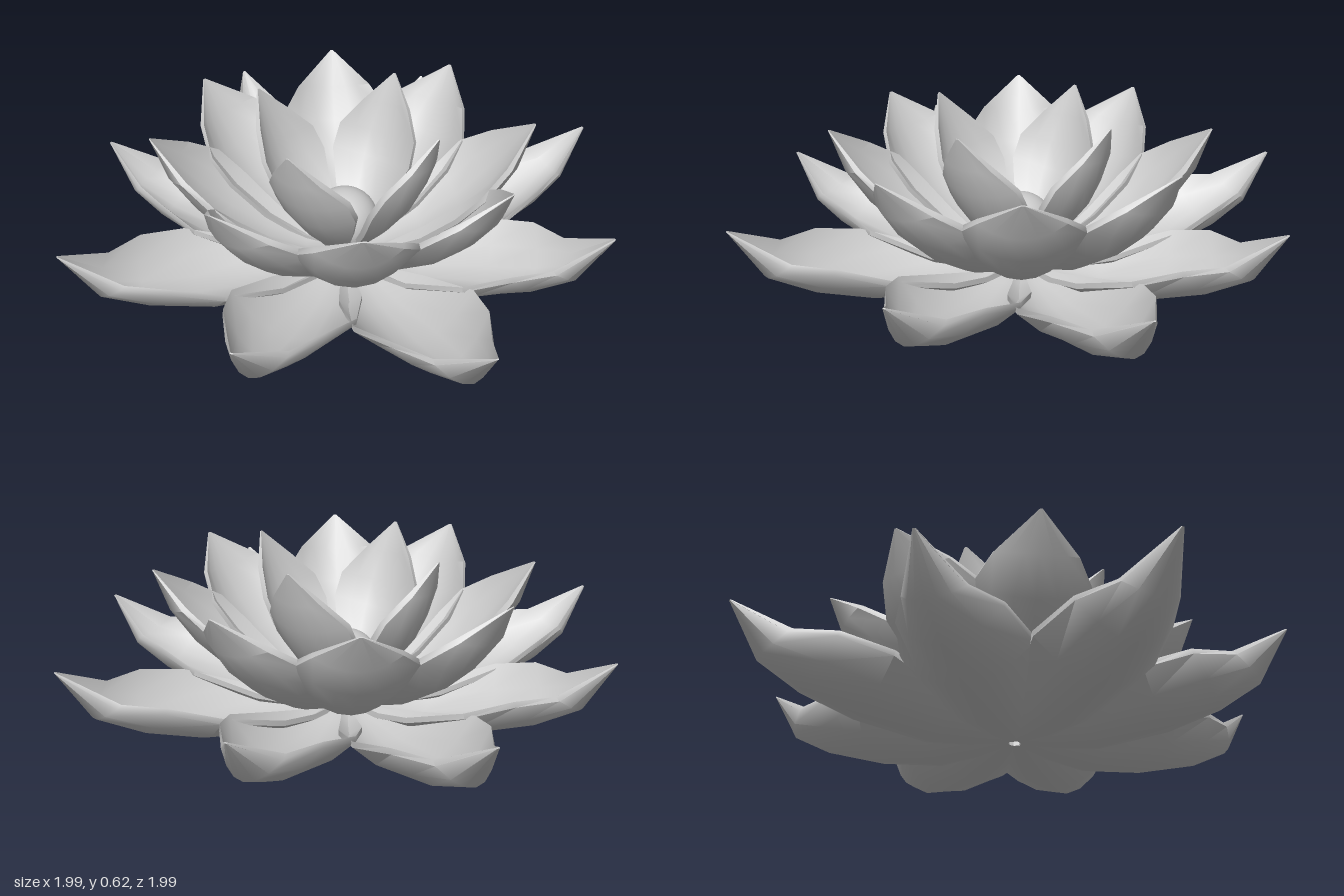
import * as THREE from 'three';
import { toCreasedNormals } from 'three/addons/utils/BufferGeometryUtils.js';

// Petal sections from base to tip: [radius, height, half width, edge lift]
const OUTER = [
  [0.02, 0.04, 0.02, 0.0], [0.15, 0.015, 0.09, 0.03], [0.3, 0.0, 0.16, 0.08], [0.55, 0.035, 0.215, 0.125],
  [0.74, 0.085, 0.17, 0.13], [0.89, 0.16, 0.1, 0.085], [0.995, 0.335, 0.004, 0.0],
];
const MIDDLE = [
  [0.02, 0.07, 0.02, 0.0], [0.14, 0.075, 0.07, 0.02], [0.28, 0.125, 0.14, 0.06], [0.42, 0.215, 0.19, 0.09],
  [0.52, 0.31, 0.2, 0.095], [0.6, 0.42, 0.135, 0.06], [0.65, 0.55, 0.004, 0.0],
];
const INNER = [
  [0.02, 0.11, 0.02, 0.0], [0.09, 0.13, 0.06, 0.015], [0.17, 0.21, 0.11, 0.04], [0.25, 0.315, 0.155, 0.065],
  [0.295, 0.41, 0.15, 0.06], [0.33, 0.51, 0.09, 0.03], [0.35, 0.62, 0.004, 0.0],
];

// A cupped solid petal pointing to +z, skinned over closed cross-sections
function petalGeometry(rows, thickness = 0.02, across = 6) {
  const pos = [], index = [];
  const loop = 2 * (across + 1);
  rows.forEach(([r, y, halfWidth, lift], i) => {
    const a = rows[Math.max(i - 1, 0)], b = rows[Math.min(i + 1, rows.length - 1)];
    const t = new THREE.Vector2(b[0] - a[0], b[1] - a[1]).normalize();
    const thick = i === rows.length - 1 ? 0.004 : thickness;
    for (let k = 0; k < loop; k++) {
      const inside = k > across;
      const u = ((inside ? loop - 1 - k : k) / across) * 2 - 1;
      const offset = lift * u * u + (inside ? thick : 0);
      pos.push(halfWidth * u, y + t.x * offset, r - t.y * offset);
    }
  });
  for (let i = 0; i < rows.length - 1; i++) {
    for (let k = 0; k < loop; k++) {
      const a = i * loop + k, b = i * loop + ((k + 1) % loop);
      index.push(a, b, a + loop, b, b + loop, a + loop);
    }
  }
  // Close the base and the tip
  const last = (rows.length - 1) * loop;
  for (let k = 0; k < across; k++) {
    const m = loop - 1 - k;
    index.push(k, m, k + 1, k + 1, m, m - 1);
    index.push(last + k, last + k + 1, last + m, last + k + 1, last + m - 1, last + m);
  }
  const geometry = new THREE.BufferGeometry();
  geometry.setAttribute('position', new THREE.Float32BufferAttribute(pos, 3));
  geometry.setIndex(index);
  return toCreasedNormals(geometry, 0.8);
}

export function createModel() {
  const flower = new THREE.Group();
  flower.name = 'lotusFlower';
  const material = new THREE.MeshStandardMaterial({ color: 0xcccccc });

  // Four petals a quarter turn apart, starting at the given angle
  function addRing(name, geometry, degrees) {
    const ring = new THREE.Group();
    ring.name = name + 's';
    for (let q = 0; q < 4; q++) {
      const petal = new THREE.Mesh(geometry, material);
      petal.name = name;
      petal.rotation.y = THREE.MathUtils.degToRad(degrees + q * 90);
      ring.add(petal);
    }
    flower.add(ring);
  }

  // Low spreading petals, slightly shorter on the diagonals
  addRing('outerPetal', petalGeometry(OUTER), 0);
  const shorter = OUTER.map(([r, y, w, l]) => [r * 0.93, y * 0.98, w, l]);
  addRing('diagonalOuterPetal', petalGeometry(shorter), 45);

  // Rising petals, in two sets of four
  const middle = petalGeometry(MIDDLE);
  addRing('middlePetal', middle, -20.5);
  addRing('middlePetal', middle, 27.5);

  // Steep petals around the heart
  addRing('innerPetal', petalGeometry(INNER), 34.5);

  // Round heart
  const heart = new THREE.Mesh(new THREE.SphereGeometry(0.117, 32, 20), material);
  heart.name = 'heart';
  heart.position.y = 0.2;
  flower.add(heart);

  return flower;
}
